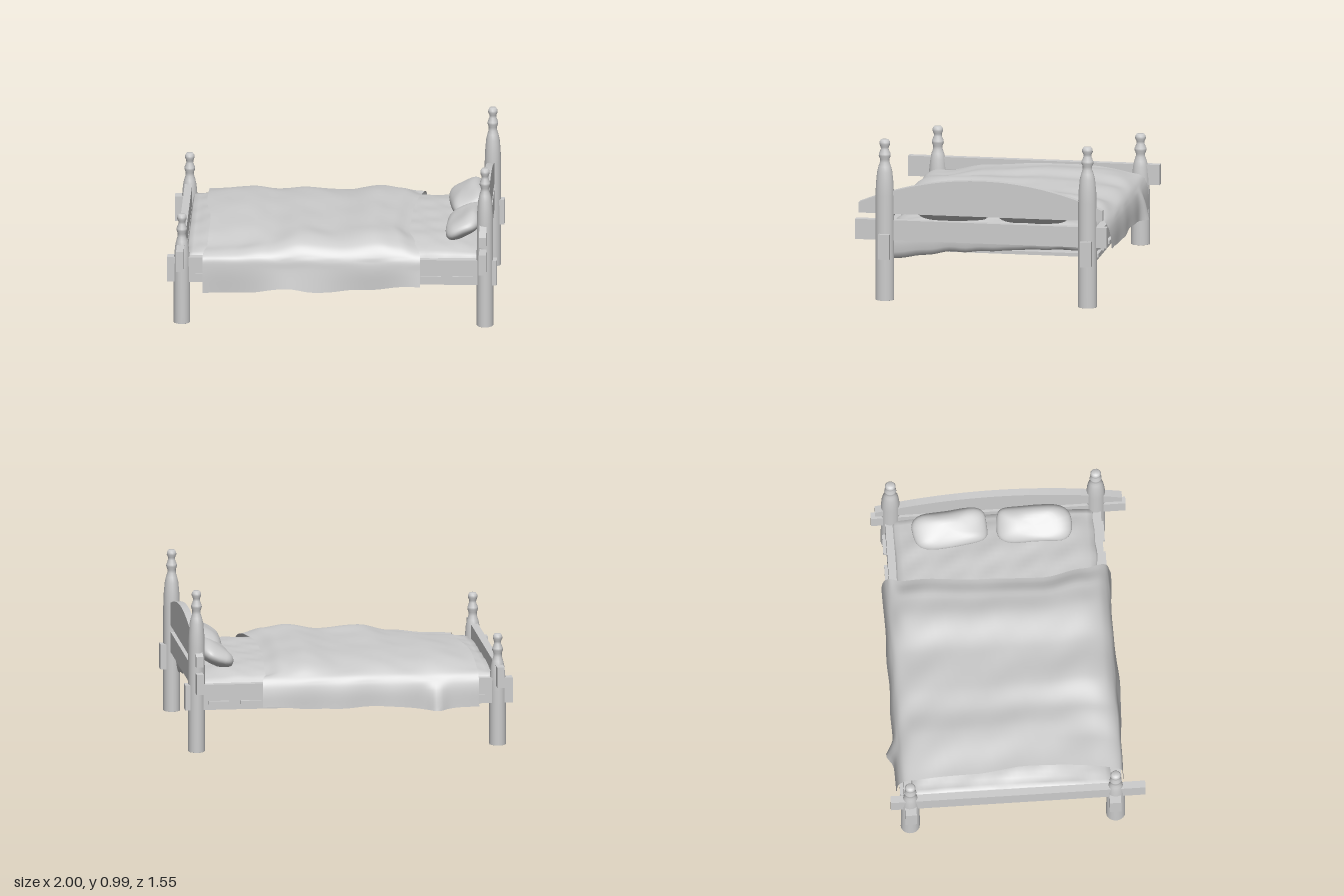
import * as THREE from 'three';
import { mergeVertices } from 'three/addons/utils/BufferGeometryUtils.js';

const grey = new THREE.MeshStandardMaterial({ color: 0xcccccc });
grey.name = 'plainGrey';
grey.side = THREE.DoubleSide;

const { smoothstep, lerp } = THREE.MathUtils;

function add(parent, name, geometry, x = 0, y = 0, z = 0) {
  const mesh = new THREE.Mesh(geometry, grey);
  mesh.name = name;
  mesh.position.set(x, y, z);
  parent.add(mesh);
  return mesh;
}

// Box given by its low and high corner
function block(parent, name, [x0, y0, z0], [x1, y1, z1]) {
  return add(parent, name, new THREE.BoxGeometry(x1 - x0, y1 - y0, z1 - z0),
    (x0 + x1) / 2, (y0 + y1) / 2, (z0 + z1) / 2);
}

// Move the vertices by a rule and weld them for smooth shading
function reshape(geometry, rule) {
  geometry.deleteAttribute('uv');
  geometry.deleteAttribute('normal');
  const welded = mergeVertices(geometry, 1e-4);
  const p = welded.attributes.position, v = new THREE.Vector3();
  for (let i = 0; i < p.count; i++) {
    v.fromBufferAttribute(p, i);
    rule(v);
    p.setXYZ(i, v.x, v.y, v.z);
  }
  welded.computeVertexNormals();
  return welded;
}

// Smooth curve through [x, y] points, evaluated at x
function lerpTable(table, x) {
  if (x <= table[0][0]) return table[0][1];
  for (let i = 1; i < table.length; i++) {
    const [a, ya] = table[i - 1], [b, yb] = table[i];
    if (x <= b) return lerp(ya, yb, smoothstep(x, a, b));
  }
  return table[table.length - 1][1];
}

const wrinkle = (x, z) => 0.003 * Math.sin(9 * x + 5 * z) * Math.cos(11 * z - 4 * x)
  + 0.003 * Math.sin(23 * x - 13 * z + 1) * Math.sin(8 * z + 2);

// Turned post with a finial; the profile is measured down from the top
function postGeometry(height) {
  const top = [[-0.345, 0.057], [-0.27, 0.054], [-0.2, 0.047], [-0.165, 0.038], [-0.14, 0.029],
    [-0.12, 0.029], [-0.1, 0.037], [-0.088, 0.036], [-0.06, 0.024], [-0.045, 0.025],
    [-0.028, 0.033], [-0.014, 0.032], [0, 0.023]].map(([d, r]) => new THREE.Vector2(r, height + d));
  const points = [new THREE.Vector2(0, 0), new THREE.Vector2(0.057, 0), new THREE.Vector2(0.058, 0.001),
    ...top, new THREE.Vector2(0, height)];
  return new THREE.LatheGeometry(points, 18);
}

// Arched panel drawn in z and y, extruded along x
function archGeometry(thickness) {
  const s = new THREE.Shape();
  s.moveTo(-0.758, 0.535);
  s.lineTo(0.742, 0.535);
  s.lineTo(0.742, 0.6);
  const n = 24;
  for (let i = 1; i <= n; i++) {
    const t = 1 - 2 * i / n;
    s.lineTo(-0.008 + 0.75 * t, 0.6 + 0.156 * (1 - t * t));
  }
  s.closePath();
  const g = new THREE.ExtrudeGeometry(s, { depth: thickness, bevelEnabled: false });
  g.rotateY(Math.PI / 2);
  return g;
}

// Mattress: crowned box with soft edges and corners sagging between the slats
function mattressGeometry() {
  return reshape(new THREE.BoxGeometry(1.77, 0.14, 1.2, 60, 5, 36), (v) => {
    const nx = Math.abs(v.x) / 0.885, nz = Math.abs(v.z) / 0.6;
    const ex = 1 - Math.pow(nx, 12), ez = 1 - Math.pow(nz, 6);
    const h = v.y / 0.14 + 0.5;
    const w = wrinkle(v.x * 1.7, v.z * 1.7);
    const bulge = 0.02 * Math.sin(Math.PI * h);
    const sag = Math.pow(nx, 6) * (0.06 * smoothstep(v.z, 0.15, 0.6) - 0.035 * smoothstep(-v.z, -0.2, 0.5));
    const bottom = 0.308 - sag + 1.5 * w;
    const slump = 0.035 * smoothstep(-v.x, 0.25, 0.7) * smoothstep(v.z, 0.15, 0.5);
    const top = 0.435 + 0.052 * Math.max(ex, 0.4) * ez - slump * (1 - 0.5 * nz) + w * 1.3;
    v.y = lerp(bottom, top, h);
    v.x += Math.sign(v.x) * bulge * (1 - ex) * 0.7 + 0.01;
    v.z += Math.sign(v.z) * bulge * (1 - ez) - 0.025 + w * (1 - ez);
  });
}

// Blanket: cross-sections in z and y swept along x, with hems that hang unevenly
function blanketGeometry() {
  const crest = [[-0.79, 0.507], [-0.5, 0.53], [-0.35, 0.514], [-0.2, 0.525], [0.05, 0.512],
    [0.28, 0.545], [0.42, 0.527], [0.54, 0.495]];
  const shoulder = [[-0.79, 0.45], [-0.6, 0.458], [-0.4, 0.485], [-0.2, 0.525], [0.05, 0.508],
    [0.28, 0.54], [0.42, 0.52], [0.54, 0.485]];
  const frontHem = [[-0.79, 0.2], [-0.5, 0.203], [-0.27, 0.238], [-0.12, 0.212], [0.2, 0.232], [0.54, 0.255]];
  const backHem = [[-0.79, 0.25], [-0.53, 0.24], [-0.2, 0.265], [0.2, 0.255], [0.54, 0.28]];
  const headEdge = [[-0.72, 0.53], [-0.6, 0.5], [-0.1, 0.465], [0.25, 0.455], [0.5, 0.5], [0.65, 0.537]];
  const footEdge = [[-0.7, -0.79], [-0.25, -0.79], [0.1, -0.755], [0.45, -0.76], [0.65, -0.785]];
  const nu = 60, nv = 64;
  const g = new THREE.PlaneGeometry(1, 1, nu, nv);
  const p = g.attributes.position;
  for (let i = 0; i <= nu; i++) {
    const u = i / nu, xs = -0.785 + 1.32 * u;
    const top = lerpTable(crest, xs), front = lerpTable(shoulder, xs);
    const flare = 0.045 * Math.exp(-Math.pow((xs + 0.53) / 0.05, 2)) + 0.003 * Math.sin(17 * xs);
    const section = new THREE.CatmullRomCurve3([
      [lerpTable(backHem, xs), -0.725 - flare], [0.36, -0.718 - flare * 0.4], [0.415, -0.703],
      [0.452, -0.675], [top - 0.04, -0.61], [top - 0.01, -0.45], [top, -0.1], [lerp(top, front, 0.4), 0.28],
      [front, 0.48], [lerp(front, 0.43, 0.3), 0.58], [lerp(front, 0.42, 0.65), 0.622], [0.41, 0.645],
      [0.35, 0.654], [lerpTable(frontHem, xs), 0.664 + 0.012 * Math.sin(7 * xs + 3)],
    ].map(([y, z]) => new THREE.Vector3(0, y, z)), false, 'centripetal');
    for (let j = 0; j <= nv; j++) {
      const c = section.getPoint(j / nv);
      const x = lerp(lerpTable(footEdge, c.z), lerpTable(headEdge, c.z), u);
      const w = wrinkle(x, c.z);
      const hanging = c.y < 0.42 ? 0.5 * w : 0;
      p.setXYZ(j * (nu + 1) + i, x, c.y + w, c.z + hanging);
    }
  }
  g.computeVertexNormals();
  return g;
}

// Pillow: cushion with drawn-out corners and thin edges
function pillowGeometry(seed) {
  return reshape(new THREE.SphereGeometry(1, 32, 20), (v) => {
    const square = (t) => Math.sign(t) * Math.pow(Math.abs(t), 0.6);
    const x = square(v.x), z = square(v.z);
    const dent = 0.012 * Math.sin(3 * x + seed) * Math.cos(4 * z + seed);
    const waist = 1 - 0.1 * (1 - z * z) * x * x;
    v.set(x * 0.124 * waist + dent * 0.6, v.y * 0.06 + dent * 0.5, z * (0.225 + 0.015 * x * x) + dent * 0.6);
  });
}

export function createModel() {
  const bed = new THREE.Group();
  bed.name = 'bed';

  // Four posts, taller at the head
  for (const [end, x, height] of [['head', 0.928, 0.992], ['foot', -0.911, 0.682]]) {
    for (const z of [0.6, -0.648]) {
      const post = add(bed, end + 'Post', postGeometry(height), x, 0, z);
      post.scale.x = 0.88;
    }
  }

  // Cross rails and arched headboard
  block(bed, 'headRail', [0.897, 0.37, -0.768], [0.94, 0.495, 0.78]);
  block(bed, 'footRail', [-0.94, 0.37, -0.768], [-0.895, 0.495, 0.78]);
  add(bed, 'headboard', archGeometry(0.043), 0.897, 0, 0);

  // Side rails
  block(bed, 'leftSideRail', [-1, 0.26, 0.56], [1, 0.415, 0.628]);
  block(bed, 'rightSideRail', [-1, 0.26, -0.682], [1, 0.415, -0.614]);

  // Slats whose ends pass through the side rails
  for (let i = 0; i < 9; i++) {
    const x = 0.795 - 0.195 * i;
    block(bed, 'slat', [x - 0.062, 0.294, -0.703], [x + 0.062, 0.315, 0.643]);
  }

  // Bedding
  add(bed, 'mattress', mattressGeometry());
  add(bed, 'blanket', blanketGeometry());
  for (const [z, seed, turn] of [[-0.295, 0.6, 0.08], [0.215, 2.1, -0.04]]) {
    const pillow = add(bed, 'pillow', pillowGeometry(seed), 0.788, 0.538, z);
    pillow.rotation.set(0, turn, 0.5);
  }
  return bed;
}
